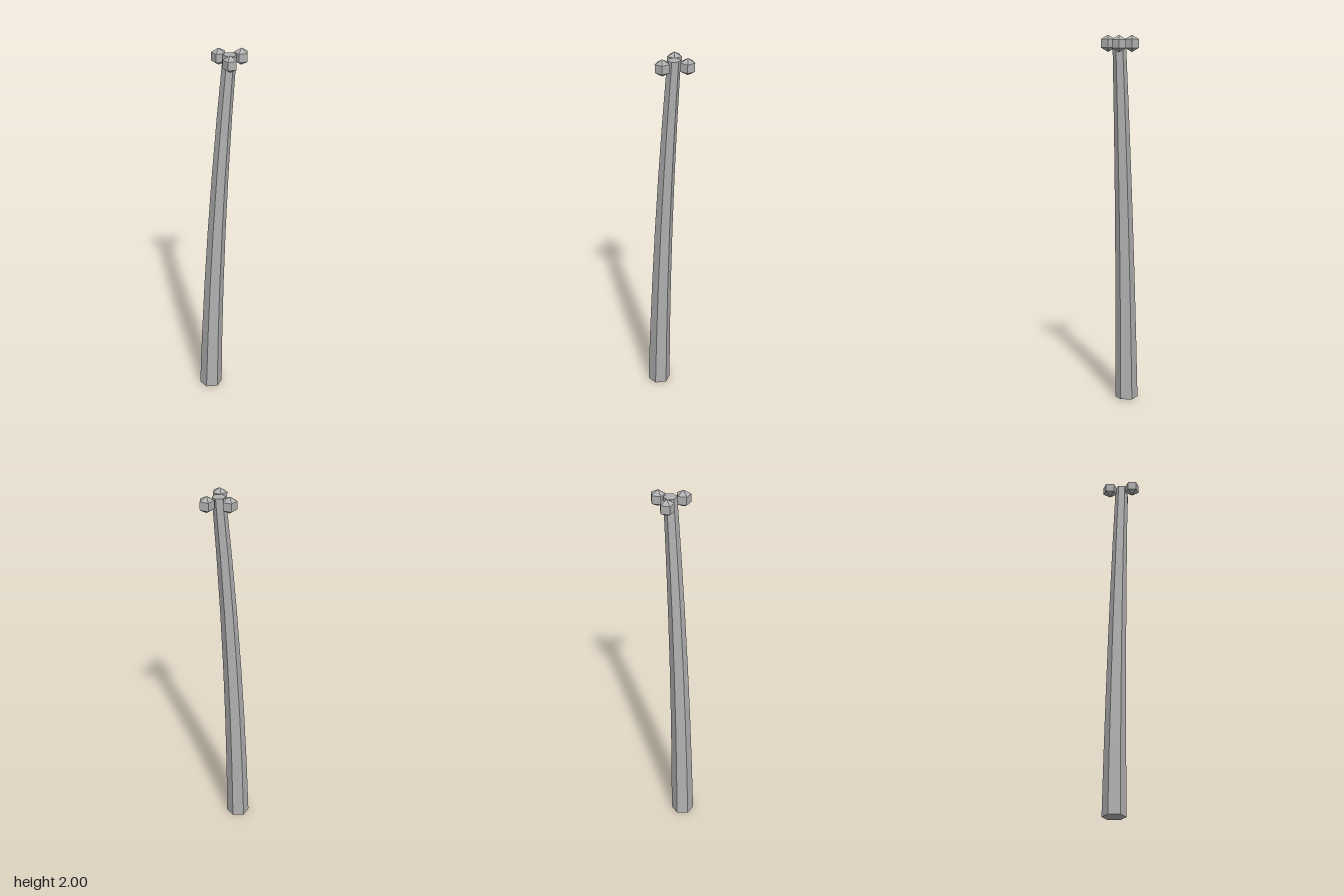
import * as THREE from 'three';

export function createModel() {
  const model = new THREE.Group();
  model.name = 'bentTrunkWithFruit';
  const grey = new THREE.MeshStandardMaterial({ color: 0xb0b0b0, flatShading: true });
  grey.name = 'grey';

  // Tapered six-sided trunk, bent progressively toward its top
  const height = 1.98;
  const trunkGeometry = new THREE.CylinderGeometry(0.035, 0.062, height, 6, 6);
  trunkGeometry.translate(0, height / 2, 0);
  const p = trunkGeometry.attributes.position;
  for (let i = 0; i < p.count; i++) {
    const t = p.getY(i) / height;
    const bend = 0.4 * t + 0.6 * t * t;
    p.setX(i, p.getX(i) - 0.08 + 0.102 * bend);
    p.setZ(i, p.getZ(i) - 0.036 + 0.039 * bend);
  }
  trunkGeometry.computeVertexNormals();
  const trunk = new THREE.Mesh(trunkGeometry, grey);
  trunk.name = 'trunk';
  model.add(trunk);

  // Three five-sided fruits around the crown
  const radius = 0.0447;
  const fruitGeometry = new THREE.SphereGeometry(radius, 5, 3);
  fruitGeometry.rotateY(Math.PI);
  const spots = [[0.094, 0.003], [0.002, -0.064], [-0.019, 0.062]];
  spots.forEach(([x, z], i) => {
    const fruit = new THREE.Mesh(fruitGeometry, grey);
    fruit.name = `fruit${i + 1}`;
    fruit.position.set(x, 2 - radius, z);
    model.add(fruit);
  });

  return model;
}
